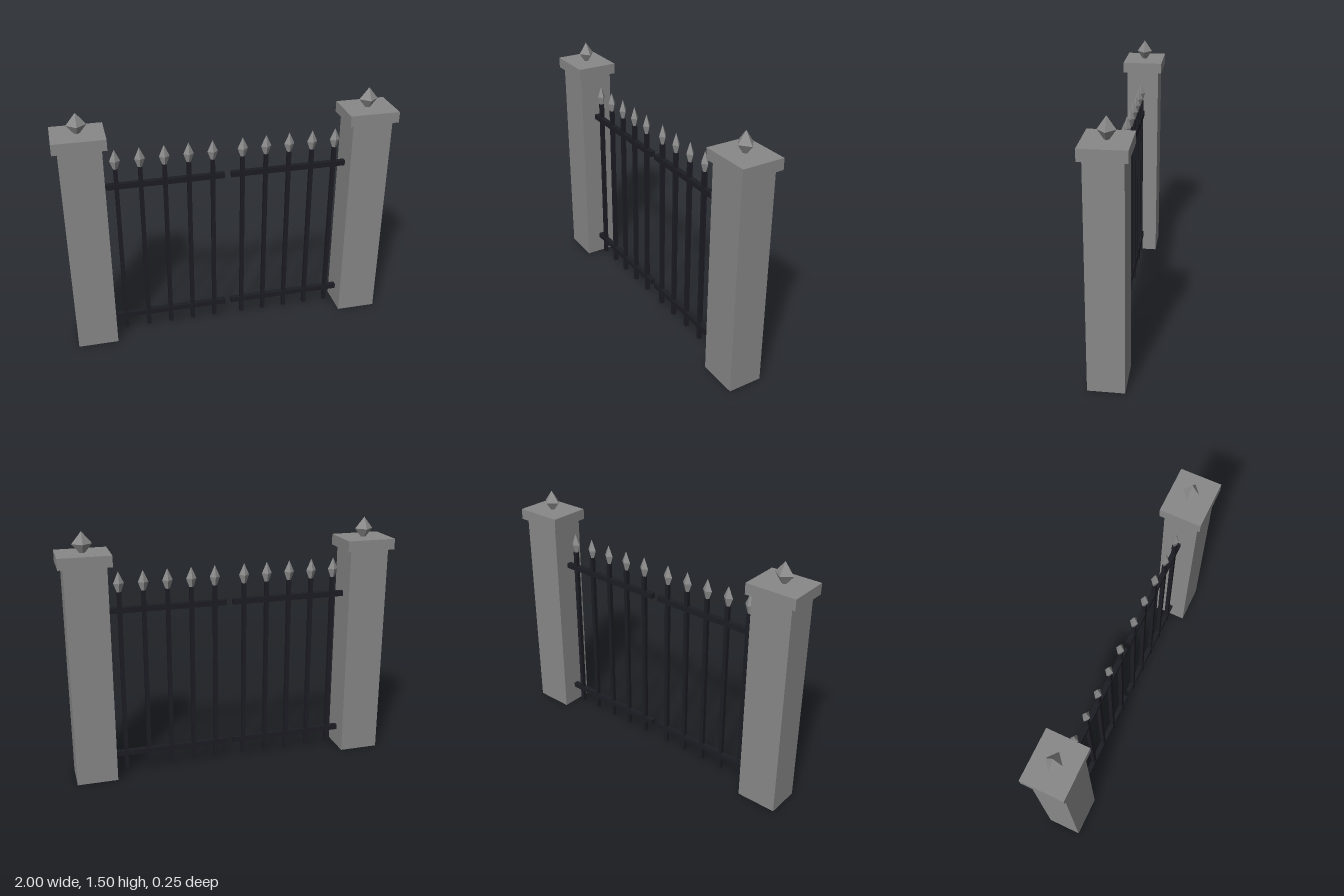
import * as THREE from 'three';

const stone = new THREE.MeshStandardMaterial({ color: 0x888888, side: THREE.DoubleSide });
stone.name = 'stoneGrey';
const iron = new THREE.MeshStandardMaterial({ color: 0x1c1c24 });
iron.name = 'blackIron';
const steel = new THREE.MeshStandardMaterial({ color: 0x8c8c8c, flatShading: true });
steel.name = 'pointGrey';

function add(parent, name, geometry, material, x, y, z = 0) {
  const mesh = new THREE.Mesh(geometry, material);
  mesh.name = name;
  mesh.position.set(x, y, z);
  parent.add(mesh);
  return mesh;
}

// Box without its underside, hollow when seen from below
function openBox(w, h, d) {
  const geo = new THREE.BoxGeometry(w, h, d);
  const index = Array.from(geo.index.array);
  index.splice(18, 6);
  geo.setIndex(index);
  geo.clearGroups();
  return geo;
}

// Four-sided spear point, flattened front to back
function spearGeometry() {
  const profile = [[0.011, 0], [0.031, 0.056], [0, 0.126]].map(([r, y]) => new THREE.Vector2(r, y));
  return new THREE.LatheGeometry(profile, 4).scale(1, 1, 0.78);
}

export function createModel() {
  const model = new THREE.Group();
  model.name = 'gate';

  const postGeo = openBox(0.242, 1.32, 0.206);
  const capGeo = new THREE.BoxGeometry(0.3, 0.065, 0.25);
  const finialGeo = new THREE.OctahedronGeometry(1).scale(0.057, 0.07, 0.048);
  const railGeo = new THREE.BoxGeometry(0.708, 0.032, 0.03);
  const barGeo = new THREE.BoxGeometry(0.024, 1.11, 0.024);
  const spearGeo = spearGeometry();

  for (const side of [-1, 1]) {
    const label = side > 0 ? 'left' : 'right';

    // Stone pillar with cap and finial
    const pillar = new THREE.Group();
    pillar.name = label + 'Pillar';
    model.add(pillar);
    add(pillar, 'post', postGeo, stone, side * 0.849, 0.66);
    add(pillar, 'cap', capGeo, stone, side * 0.85, 1.3475);
    add(pillar, 'finial', finialGeo, steel, side * 0.85, 1.43);

    // Gate leaf: two rails and five pointed bars
    const leaf = new THREE.Group();
    leaf.name = label + 'Leaf';
    model.add(leaf);
    add(leaf, 'lowerRail', railGeo, iron, side * 0.374, 0.126);
    add(leaf, 'upperRail', railGeo, iron, side * 0.374, 1.032);
    for (let i = 0; i < 5; i++) {
      const x = side * (0.09 + i * 0.1418);
      add(leaf, 'bar', barGeo, iron, x, 0.585);
      add(leaf, 'spearPoint', spearGeo, steel, x, 1.135);
    }
  }
  return model;
}
